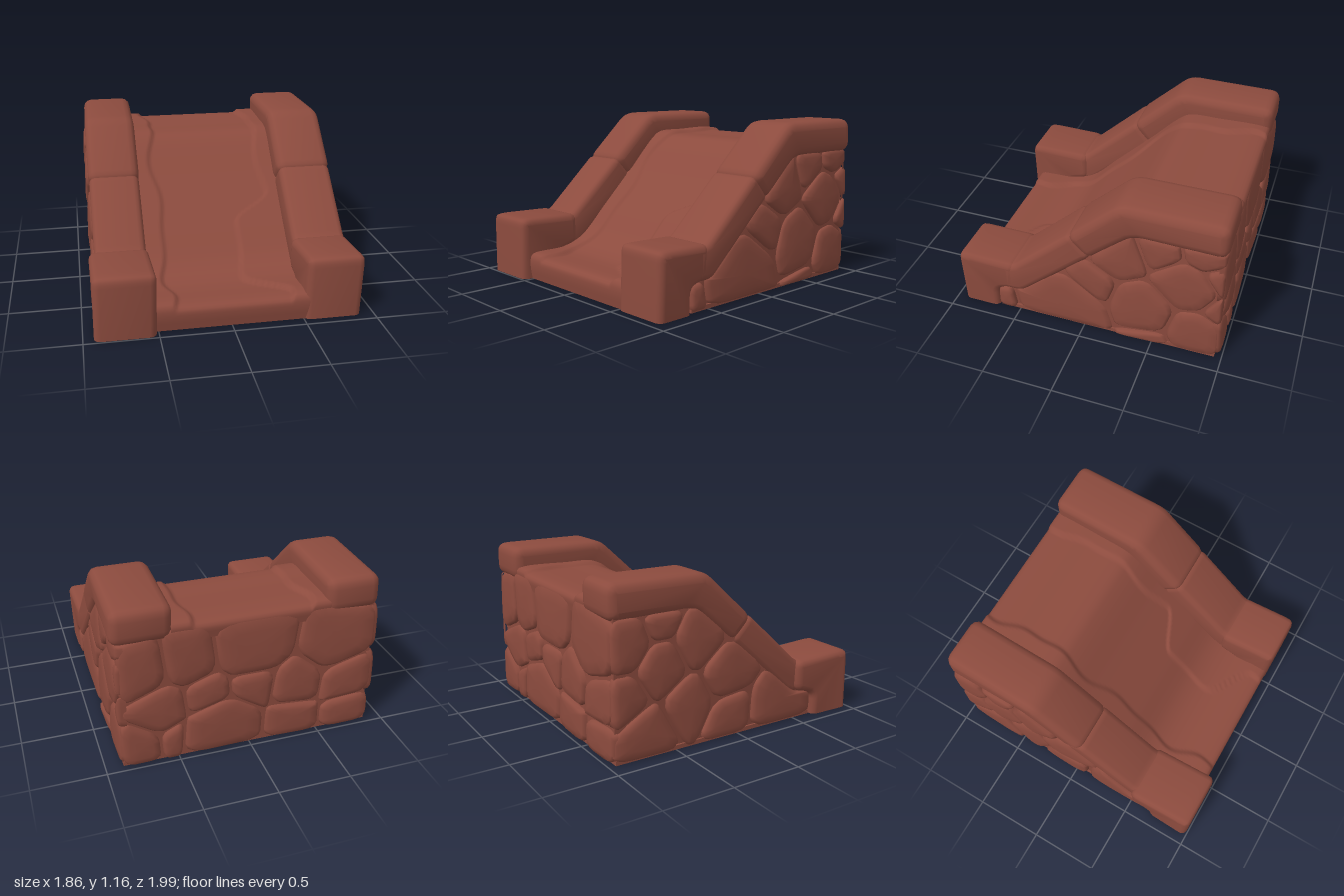
import * as THREE from 'three';
import { toCreasedNormals } from 'three/addons/utils/BufferGeometryUtils.js';

const stone = new THREE.MeshStandardMaterial({ color: 0x8c4b3e });
stone.name = 'red stone';

const add = (parent, name, geometry) => {
  const mesh = new THREE.Mesh(geometry, stone);
  mesh.name = name;
  parent.add(mesh);
  return mesh;
};
const smooth = THREE.MathUtils.smoothstep;

// Polygon with rounded corners
function roundedShape(points, r) {
  const shape = new THREE.Shape();
  const p = points.map(([x, y]) => new THREE.Vector2(x, y));
  p.forEach((c, i) => {
    const prev = p[(i + p.length - 1) % p.length], next = p[(i + 1) % p.length];
    const cut = (q) => c.clone().add(q.clone().sub(c).setLength(Math.min(r, q.distanceTo(c) * 0.45)));
    const a = cut(prev), b = cut(next);
    if (i === 0) shape.moveTo(a.x, a.y); else shape.lineTo(a.x, a.y);
    shape.quadraticCurveTo(c.x, c.y, b.x, b.y);
  });
  shape.closePath();
  return shape;
}

// Bevelled block: a (z, y) outline carried from x0 to x1, flat on the ground
function block(outline, x0, x1, bevel = 0.045) {
  let g = new THREE.ExtrudeGeometry(roundedShape(outline, bevel * 1.2), {
    depth: x1 - x0 - 2 * bevel, bevelSize: bevel, bevelThickness: bevel,
    bevelOffset: -bevel, bevelSegments: 3, curveSegments: 4,
  });
  g.rotateY(-Math.PI / 2).translate(x1 - bevel, 0, 0);
  const p = g.attributes.position;
  for (let i = 0; i < p.count; i++) {
    const x = p.getX(i), y = p.getY(i), z = p.getZ(i);
    p.setX(i, x + 0.007 * Math.sin(6 * y + 5 * z + x));
    p.setY(i, Math.max(0, y));
  }
  return toCreasedNormals(g, 0.7);
}

// Keep the part of a polygon where nx*x + ny*y <= d
function clip(poly, nx, ny, d) {
  const out = [];
  poly.forEach((a, i) => {
    const b = poly[(i + 1) % poly.length];
    const da = nx * a[0] + ny * a[1] - d, db = nx * b[0] + ny * b[1] - d;
    if (da <= 0) out.push(a);
    if (da * db < 0) {
      const t = da / (da - db);
      out.push([a[0] + t * (b[0] - a[0]), a[1] + t * (b[1] - a[1])]);
    }
  });
  return out;
}

// Domed stone over a softened polygon
function cobble(poly, height, tilt) {
  for (let k = 0; k < 2; k++) {
    poly = poly.flatMap((a, i) => {
      const b = poly[(i + 1) % poly.length];
      return [0.16, 0.84].map((t) => [a[0] + t * (b[0] - a[0]), a[1] + t * (b[1] - a[1])]);
    });
  }
  const n = poly.length;
  const cx = poly.reduce((s, p) => s + p[0], 0) / n, cy = poly.reduce((s, p) => s + p[1], 0) / n;
  const pos = [], idx = [];
  const rings = [[1, 0], [0.97, 0.55], [0.88, 0.84], [0.6, 0.98]];
  rings.forEach(([s, h], k) => poly.forEach(([x, y], i) => {
    const dx = (x - cx) * s, dy = (y - cy) * s;
    pos.push(cx + dx, cy + dy, height * h * (1 + tilt * dx - 0.4 * dy));
    const j = (i + 1) % n, a = k * n + i, b = k * n + j;
    if (k < 3) idx.push(a, b, b + n, a, b + n, a + n);
    else idx.push(a, b, 4 * n);
  }));
  pos.push(cx, cy, height);
  const g = new THREE.BufferGeometry();
  g.setAttribute('position', new THREE.Float32BufferAttribute(pos, 3));
  g.setIndex(idx);
  g.computeVertexNormals();
  return g;
}

// Wall face of fitted stones; each seed is [u, v, size]
function stoneFace(name, region, seeds, height) {
  const group = new THREE.Group();
  group.name = name;
  seeds.forEach((s, i) => {
    let poly = region;
    seeds.forEach((o) => {
      if (o === s) return;
      const dx = o[0] - s[0], dy = o[1] - s[1], len = Math.hypot(dx, dy);
      const mid = (len * len + s[2] ** 2 - o[2] ** 2) / (2 * len) - 0.008;
      poly = clip(poly, dx / len, dy / len, (dx * s[0] + dy * s[1]) / len + mid);
    });
    if (poly.length > 2) add(group, 'wallStone', cobble(poly, height, Math.sin(i * 2.4) * 0.6));
  });
  return group;
}

// Worn ramp: a curved profile with raised, wavy side strips
function rampGeometry() {
  const profile = new THREE.CatmullRomCurve3([
    [0, 0.92], [0.1, 0.935], [0.155, 0.93], [0.175, 0.9], [0.185, 0.6], [0.25, 0.44], [0.45, 0.23],
    [0.72, -0.05], [0.95, -0.28], [1.0, -0.36], [1.01, -0.6], [1.01, -0.93], [0.99, -0.97], [0.9, -0.965],
  ].map(([y, z]) => new THREE.Vector3(0, y, z)), false, 'centripetal');
  const g = new THREE.PlaneGeometry(1.08, 1, 72, 110);
  const p = g.attributes.position;
  for (let i = 0; i < p.count; i++) {
    const x = p.getX(i), q = profile.getPointAt(p.getY(i) + 0.5);
    const wave = 0.025 * Math.sin(9 * q.z) + 0.015 * Math.sin(17 * q.z + 1);
    const patch = smooth(q.z, 0.05, 0.22) * (1 - smooth(q.z, 0.6, 0.85));
    const left = -0.38 + wave, right = 0.4 + wave * 0.7 - 0.25 * patch;
    const rise = 1 - smooth(x, left - 0.03, left) + smooth(x, right, right + 0.03);
    const top = smooth(q.y, 0.1, 0.18);
    p.setXYZ(i, x, q.y + top * (0.025 * rise - 0.01), q.z);
  }
  g.computeVertexNormals();
  return g;
}

export function createModel() {
  const model = new THREE.Group();
  model.name = 'stoneRamp';

  add(model, 'ramp', rampGeometry());

  // Solid core and underside
  add(model, 'backCore', new THREE.BoxGeometry(1.74, 0.96, 0.08).translate(0, 0.48, -0.91));
  add(model, 'base', new THREE.BoxGeometry(1.76, 0.03, 1.6).translate(0, 0.015, -0.15));
  add(model, 'frontBase', new THREE.BoxGeometry(1.06, 0.1, 0.4).translate(0, 0.05, 0.72));

  // Outlines as [z, y]
  const coreLine = [[0.75, 0], [0.75, 0.3], [0.5, 0.36], [-0.29, 1.08], [-0.94, 1.08], [-0.94, 0]];
  const topRail = [[0.11, 0.81], [-0.27, 1.16], [-0.985, 1.16], [-0.985, 0.92], [-0.36, 0.92], [-0.045, 0.645]];
  const lowRail = [[0.53, 0.42], [0.08, 0.835], [-0.07, 0.67], [0.47, 0.19], [0.62, 0.19], [0.62, 0.42]];
  const post = (front) => [[front, -0.08], [front, 0.43], [front - 0.05, 0.445], [0.5, 0.43], [0.5, 0.21], [0.66, 0.17], [0.66, -0.08]];

  // Side walls: core, sloping rails and front posts
  for (const side of [-1, 1]) {
    const wall = new THREE.Group();
    wall.name = side > 0 ? 'leftWall' : 'rightWall';
    const span = (inner, outer) => (side > 0 ? [inner, outer] : [-outer, -inner]);
    add(wall, 'wallCore', block(coreLine, ...span(0.54, 0.87), 0.01));
    add(wall, 'upperRail', block(topRail, ...span(0.52, side > 0 ? 0.92 : 0.89), 0.06));
    add(wall, 'lowerRail', block(lowRail, ...span(0.525, side > 0 ? 0.91 : 0.885)));
    add(wall, 'frontPost', block(post(side > 0 ? 0.94 : 0.99), ...span(0.51, side > 0 ? 0.91 : 0.925)));
    model.add(wall);
  }

  // Fitted stones on both outer sides
  const sideRegion = [[-0.66, 0.005], [0.975, 0.005], [0.975, 0.94], [0.34, 0.94], [-0.5, 0.2], [-0.66, 0.18]];
  const leftSeeds = [[-0.2, 0.12, 0.36], [0.03, 0.43, 0.2], [0.22, 0.72, 0.2], [0.42, 0.3, 0.22], [0.72, 0.58, 0.2],
    [0.8, 0.18, 0.19], [0.54, 0.83, 0.12], [0.85, 0.88, 0.13], [0.95, 0.42, 0.09], [0.93, 0.72, 0.1], [0.47, 0.0, 0.1], [-0.57, 0.06, 0.16]];
  const rightSeeds = [[-0.3, 0.1, 0.22], [0.06, 0.12, 0.2], [0.1, 0.46, 0.2], [0.33, 0.72, 0.2], [0.4, 0.3, 0.2], [0.6, 0.58, 0.2],
    [0.7, 0.14, 0.2], [0.86, 0.42, 0.16], [0.85, 0.76, 0.18], [0.6, 0.86, 0.14]];
  const leftFace = stoneFace('leftStones', sideRegion, leftSeeds, 0.06);
  leftFace.rotation.y = Math.PI / 2;
  leftFace.position.x = 0.845;
  const mirrored = rightSeeds.map(([u, v, r]) => [-u, v, r]);
  const rightFace = stoneFace('rightStones', sideRegion.map(([u, v]) => [-u, v]).reverse(), mirrored, 0.065);
  rightFace.rotation.y = -Math.PI / 2;
  rightFace.position.x = -0.845;

  // Fitted stones on the back
  const backRegion = [[-0.89, 0.005], [0.89, 0.005], [0.89, 0.93], [0.52, 0.99], [-0.52, 0.99], [-0.89, 0.93]];
  const backSeeds = [[0.02, 0.82, 0.3], [0.6, 0.74, 0.27], [-0.42, 0.76, 0.22], [-0.75, 0.72, 0.22], [-0.62, 0.4, 0.2], [-0.8, 0.12, 0.2],
    [-0.3, 0.44, 0.18], [0.02, 0.46, 0.18], [0.33, 0.42, 0.2], [0.7, 0.38, 0.2], [-0.2, 0.12, 0.3], [0.3, 0.1, 0.2], [0.72, 0.1, 0.19], [-0.5, 0.14, 0.15]];
  const backFace = stoneFace('backStones', backRegion, backSeeds, 0.06);
  backFace.rotation.y = Math.PI;
  backFace.position.z = -0.93;

  model.add(leftFace, rightFace, backFace);
  return model;
}
